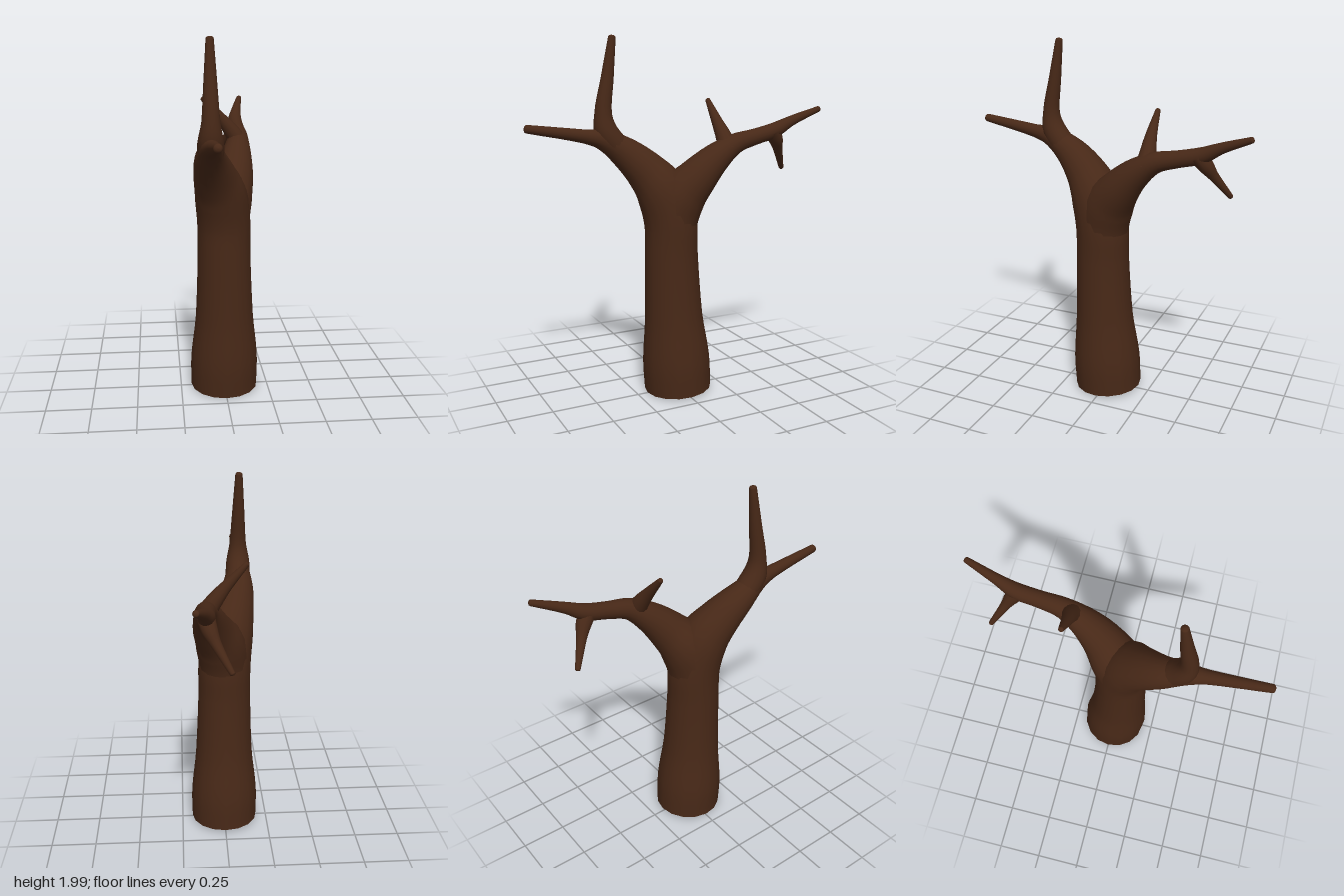
import * as THREE from 'three';

const bark = new THREE.MeshStandardMaterial({ color: 0x472817 });

// Tapered limb: stations are [x, y, z, radius]; the far end is rounded off.
function limb(name, stations, sides = 16, stepsPer = 4) {
  const path = new THREE.CatmullRomCurve3(stations.map(([x, y, z]) => new THREE.Vector3(x, y, z)));
  const radii = new THREE.CatmullRomCurve3(stations.map((s, i) => new THREE.Vector3(s[3], i * 0.1, 0)));
  const n = (stations.length - 1) * stepsPer;
  const rings = [];
  for (let i = 0; i <= n; i++) {
    const t = i / n;
    rings.push({ p: path.getPoint(t), dir: path.getTangent(t), r: radii.getPoint(t).x });
  }
  // Rounded tip
  const end = rings[n];
  for (const a of [30, 60, 89]) {
    const rad = THREE.MathUtils.degToRad(a);
    rings.push({
      p: end.p.clone().addScaledVector(end.dir, end.r * 0.6 * Math.sin(rad)),
      dir: end.dir,
      r: end.r * Math.cos(rad),
    });
  }
  const pos = [], idx = [];
  rings.forEach(({ p, dir, r }, i) => {
    const u = new THREE.Vector3(1, 0, 0).addScaledVector(dir, -dir.x).normalize();
    const v = dir.clone().cross(u);
    for (let j = 0; j < sides; j++) {
      const a = (j / sides) * Math.PI * 2;
      const q = p.clone().addScaledVector(u, r * Math.cos(a)).addScaledVector(v, r * Math.sin(a));
      pos.push(q.x, q.y, q.z);
      if (i === 0) continue;
      const k = (j + 1) % sides, lo = (i - 1) * sides, hi = i * sides;
      idx.push(lo + j, lo + k, hi + j, lo + k, hi + k, hi + j);
    }
  });
  const geo = new THREE.BufferGeometry();
  geo.setAttribute('position', new THREE.Float32BufferAttribute(pos, 3));
  geo.setIndex(idx);
  geo.computeVertexNormals();
  const mesh = new THREE.Mesh(geo, bark);
  mesh.name = name;
  mesh.userData.start = rings[0];
  return mesh;
}

export function createModel() {
  const tree = new THREE.Group();
  tree.name = 'bareTree';

  // Trunk sweeping forward into the front branch and its level spike
  const trunk = limb('trunkAndFrontBranch', [
    [0, 0.02, 0, 0.19],
    [0, 0.2, 0.01, 0.19],
    [0, 0.45, 0.025, 0.163],
    [-0.003, 0.8, 0.037, 0.148],
    [-0.005, 1.0, 0.042, 0.147],
    [-0.025, 1.16, 0.085, 0.142],
    [-0.06, 1.27, 0.16, 0.117],
    [-0.092, 1.375, 0.27, 0.088],
    [-0.1, 1.45, 0.39, 0.058],
    [-0.1, 1.475, 0.5, 0.037],
    [-0.1, 1.525, 0.81, 0.022],
  ]);
  tree.add(trunk);

  // Flat underside of the trunk
  const { p, dir, r } = trunk.userData.start;
  const base = new THREE.Mesh(new THREE.CircleGeometry(r, 16), bark);
  base.name = 'trunkBase';
  base.position.copy(p);
  base.quaternion.setFromUnitVectors(new THREE.Vector3(0, 0, 1), dir.clone().negate());
  tree.add(base);

  // Tall spike rising from the front branch
  tree.add(limb('frontUpperSpike', [
    [-0.095, 1.4, 0.31, 0.07],
    [-0.1, 1.49, 0.375, 0.066],
    [-0.1, 1.59, 0.392, 0.047],
    [-0.1, 1.78, 0.365, 0.034],
    [-0.1, 1.988, 0.335, 0.02],
  ]));

  // Back branch leaving the trunk and thinning to its tip
  tree.add(limb('backBranch', [
    [0, 0.85, 0.035, 0.135],
    [0, 1.0, 0.028, 0.138],
    [0.02, 1.13, -0.01, 0.138],
    [0.06, 1.235, -0.085, 0.113],
    [0.09, 1.345, -0.19, 0.083],
    [0.108, 1.42, -0.3, 0.057],
    [0.112, 1.452, -0.42, 0.046],
    [0.115, 1.485, -0.55, 0.043],
    [0.132, 1.535, -0.65, 0.029],
    [0.168, 1.6, -0.81, 0.016],
  ]));

  // Small twigs on the back branch: one up, one down
  tree.add(limb('backUpperTwig', [
    [0.12, 1.38, -0.25, 0.055],
    [0.07, 1.455, -0.25, 0.045],
    [0.01, 1.53, -0.243, 0.032],
    [-0.1, 1.65, -0.24, 0.014],
  ], 12));
  tree.add(limb('backLowerTwig', [
    [0.118, 1.485, -0.53, 0.045],
    [0.1, 1.43, -0.572, 0.04],
    [0.072, 1.375, -0.605, 0.027],
    [0.0, 1.255, -0.68, 0.014],
  ], 12));

  return tree;
}
